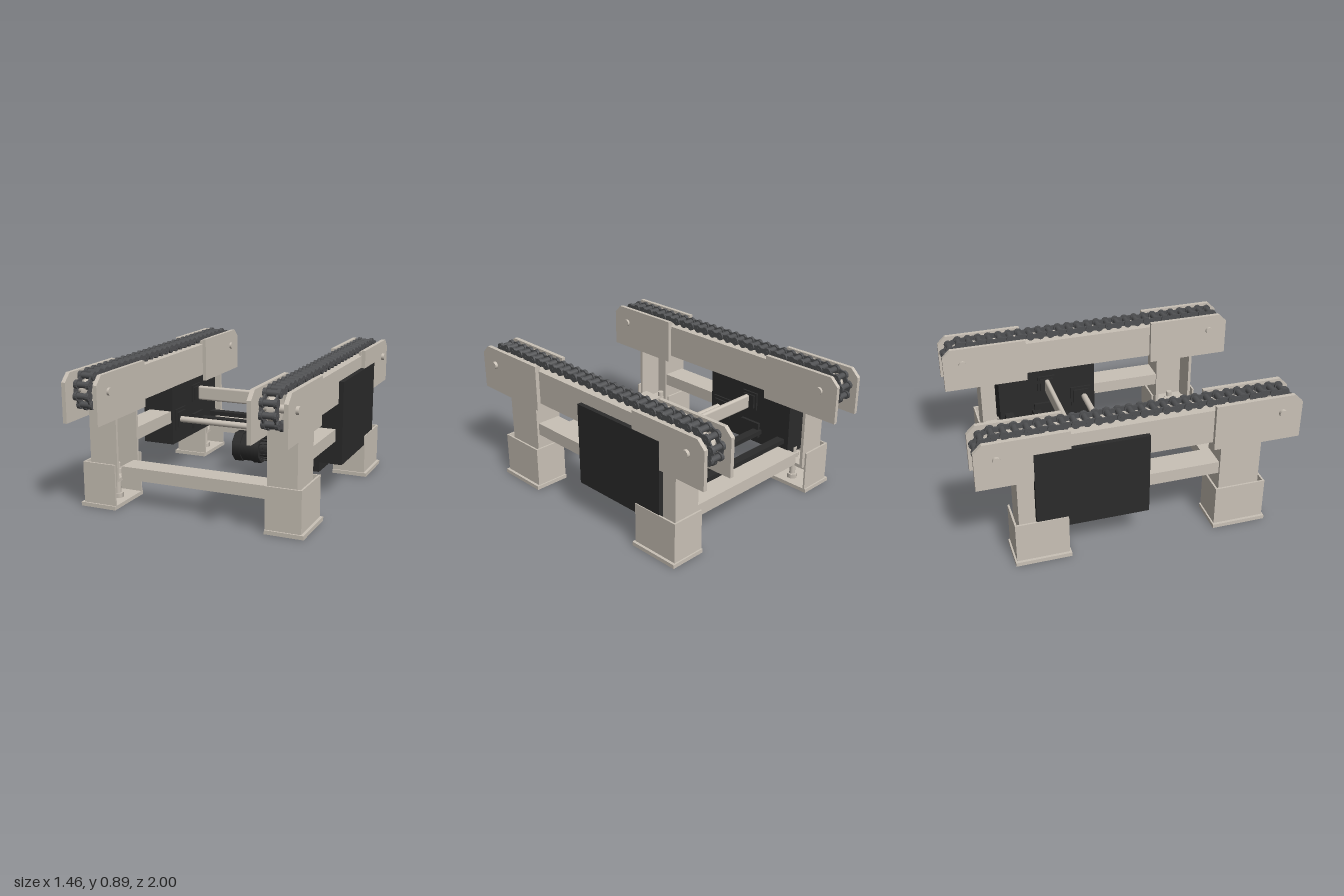
import * as THREE from 'three';
import { mergeGeometries } from 'three/addons/utils/BufferGeometryUtils.js';
import { RoundedBoxGeometry } from 'three/addons/geometries/RoundedBoxGeometry.js';

const material = (name, color) => Object.assign(new THREE.MeshStandardMaterial({ color }), { name });

export function createModel() {
  const model = new THREE.Group();
  model.name = 'chainConveyor';
  const steel = material('warmGreySteel', 0xc9c1b6);
  const dark = material('blackCasing', 0x2b2b2b);
  const chainMat = material('chainGrey', 0x505153);

  const add = (name, geo, mat, parent = model) => {
    const mesh = new THREE.Mesh(geo, mat);
    mesh.name = name;
    parent.add(mesh);
    return mesh;
  };
  // Box given by its limits on each axis
  const box = (name, mat, x0, x1, y0, y1, z0, z1, parent) => {
    const geo = new THREE.BoxGeometry(Math.abs(x1 - x0), Math.abs(y1 - y0), Math.abs(z1 - z0));
    geo.translate((x0 + x1) / 2, (y0 + y1) / 2, (z0 + z1) / 2);
    return add(name, geo, mat, parent);
  };
  // Cylinder lying along x
  const rodGeo = (x0, x1, y, z, r, n = 20) =>
    new THREE.CylinderGeometry(r, r, Math.abs(x1 - x0), n).rotateZ(Math.PI / 2).translate((x0 + x1) / 2, y, z);
  const rod = (name, mat, x0, x1, y, z, r, parent, n) => add(name, rodGeo(x0, x1, y, z, r, n), mat, parent);
  // Shape drawn in (z, y), extruded along x about x = 0
  const plateGeo = (shape, t, curveSegments = 8) =>
    new THREE.ExtrudeGeometry(shape, { depth: t, bevelEnabled: false, curveSegments })
      .translate(0, 0, -t / 2).rotateY(-Math.PI / 2);

  // Chain loop path: two straight runs and two half turns
  const R = 0.1, CZ = 0.87, CY = 0.762, COUNT = 60;
  const loop = 4 * CZ + 2 * Math.PI * R;
  const pathPoint = (d) => {
    d = ((d % loop) + loop) % loop;
    if (d < 2 * CZ) return [-CZ + d, CY + R];
    d -= 2 * CZ;
    if (d < Math.PI * R) return [CZ + R * Math.sin(d / R), CY + R * Math.cos(d / R)];
    d -= Math.PI * R;
    if (d < 2 * CZ) return [CZ - d, CY - R];
    d -= 2 * CZ;
    return [-CZ - R * Math.sin(d / R), CY - R * Math.cos(d / R)];
  };

  // Waisted link plate, two round ends
  const pitch = loop / COUNT, h = pitch / 2;
  const link = new THREE.Shape();
  link.absarc(h, 0, 0.027, -2.5, 2.5, false);
  link.absarc(-h, 0, 0.027, Math.PI - 2.5, Math.PI + 2.5, false);
  link.closePath();

  const buildChain = (s, parent) => {
    const parts = [];
    for (let i = 0; i < COUNT; i++) {
      const [z0, y0] = pathPoint(i * pitch), [z1, y1] = pathPoint((i + 1) * pitch);
      // the return run is enclosed in the rail
      if (y0 < 0.7 && Math.abs(z0) < 0.74) continue;
      const x = s * 0.58, spread = i % 2 ? 0.046 : 0.036;
      for (const k of [-1, 1]) {
        parts.push(plateGeo(link, 0.01, 6).rotateX(Math.atan2(y0 - y1, z1 - z0))
          .translate(x + k * spread, (y0 + y1) / 2, (z0 + z1) / 2));
      }
      parts.push(rodGeo(x - 0.034, x + 0.034, y0, z0, 0.019, 10).toNonIndexed());
      parts.push(rodGeo(x - 0.053, x + 0.053, y0, z0, 0.01, 8).toNonIndexed());
    }
    add('chain', mergeGeometries(parts), chainMat, parent);
  };

  // Inward-open channel post: outer web and two flanges
  const channel = (name, s, x0, x1, y0, y1, z0, z1, t, parent) => {
    const g = new THREE.Group();
    g.name = name;
    parent.add(g);
    box(name + 'Web', steel, s * (x1 - t), s * x1, y0, y1, z0, z1, g);
    box(name + 'Flange', steel, s * x0, s * (x1 - t), y0, y1, z0, z0 + t, g);
    box(name + 'Flange', steel, s * x0, s * (x1 - t), y0, y1, z1 - t, z1, g);
  };

  for (const s of [-1, 1]) {
    const side = new THREE.Group();
    side.name = s > 0 ? 'leftSide' : 'rightSide';
    model.add(side);

    box('rail', steel, s * 0.49, s * 0.675, 0.615, 0.835, -0.79, 0.79, side);
    box('sideBeam', steel, s * 0.5, s * 0.66, 0.37, 0.45, -0.5, 0.5, side);
    buildChain(s, side);

    for (const e of [-1, 1]) {
      const zMid = e * 0.63;
      // Leg, foot and levelling bolt
      channel('leg', s, 0.49, 0.675, 0.18, 0.64, zMid - 0.132, zMid + 0.132, 0.02, side);
      channel('footCover', s, 0.49, 0.712, 0.02, 0.285, zMid - 0.163, zMid + 0.163, 0.012, side);
      box('basePlate', steel, s * 0.49, s * 0.73, 0, 0.025, zMid - 0.173, zMid + 0.173, side);
      box('legFootPlate', steel, s * 0.495, s * 0.67, 0.165, 0.185, zMid - 0.13, zMid + 0.13, side);
      const bolt = new THREE.CylinderGeometry(0.02, 0.02, 0.23, 14).translate(s * 0.57, 0.135, zMid);
      add('levellingBolt', bolt, steel, side);
      for (const y of [0.04, 0.15, 0.2]) {
        add('boltNut', new THREE.CylinderGeometry(0.036, 0.036, 0.03, 6).translate(s * 0.57, y, zMid), steel, side);
      }

      // Bearing plates with a clipped upper corner
      const outline = [[0.44, 0.575], [0.998, 0.575], [0.998, 0.82], [0.945, 0.872], [0.44, 0.872]];
      const shape = new THREE.Shape(outline.map(([z, y]) => new THREE.Vector2(e * z, y)));
      for (const x of [0.478, 0.69]) {
        add('endPlate', plateGeo(shape, 0.026).translate(s * x, 0, 0), steel, side);
      }
      // Chain guides, shaft and sprocket
      for (const x of [0.508, 0.662]) {
        box('chainGuide', steel, s * (x - 0.006), s * (x + 0.006), 0.83, 0.86, e * 0.45, e * 0.79, side);
      }
      rod('sprocketShaft', steel, s * 0.45, s * 0.722, CY, e * CZ, 0.024, side);
      rod('sprocket', steel, s * 0.557, s * 0.603, CY, e * CZ, 0.075, side, 24);
    }

    // Drive casing below the rail with a tall outer cover
    box('driveCasing', dark, s * 0.488, s * 0.68, 0.22, 0.616, -0.64, 0.035, side);
    box('driveCover', dark, s * 0.672, s * 0.706, 0.22, 0.755, -0.66, 0.035, side);
    // Stepped flanges around the cross shafts
    for (const [y, z, r] of [[0.515, -0.31, 0.06], [0.383, -0.065, 0.072]]) {
      box('shaftFlange', dark, s * 0.476, s * 0.49, y - r, y + r, z - r, z + r, side);
      box('shaftFlangeStep', dark, s * 0.464, s * 0.478, y - r * 0.75, y + r * 0.75, z - r * 0.75, z + r * 0.75, side);
    }
    box('lowerFlange', dark, s * 0.468, s * 0.49, 0.265, 0.37, -0.4, -0.25, side);
  }

  // Cross members
  for (const z of [-0.63, 0.63]) box('crossBeam', steel, -0.495, 0.495, 0.175, 0.255, z - 0.075, z + 0.075);
  for (const z of [-0.58, -0.388]) box('motorRail', dark, -0.49, 0.49, 0.295, 0.325, z - 0.029, z + 0.029);
  const bar = new RoundedBoxGeometry(0.92, 0.1, 0.032, 3, 0.014).translate(0, 0.515, -0.31);
  add('upperCrossBar', bar, steel);
  rod('crossShaft', steel, -0.465, 0.465, 0.383, -0.045, 0.021);

  // Drive motor: octagonal end bells, ribbed body, gearbox
  const motor = new THREE.Group();
  motor.name = 'motor';
  model.add(motor);
  const octagon = (name, x0, x1, r) => {
    const geo = new THREE.CylinderGeometry(r, r, x1 - x0, 8).rotateY(Math.PI / 8).rotateZ(Math.PI / 2);
    add(name, geo.translate((x0 + x1) / 2, 0.182, -0.255), dark, motor);
  };
  octagon('fanCover', -0.138, -0.078, 0.106);
  octagon('motorNeck', -0.078, 0, 0.098);
  octagon('motorBell', 0, 0.058, 0.106);
  rod('motorBody', dark, 0.058, 0.24, 0.182, -0.255, 0.078, motor, 24);
  for (let i = 0; i < 20; i++) {
    const rib = new THREE.BoxGeometry(0.18, 0.01, 0.008).translate(0, 0.081, 0);
    rib.rotateX(i * Math.PI / 10).translate(0.148, 0.182, -0.255);
    add('coolingRib', rib, dark, motor);
  }
  box('gearbox', dark, 0.235, 0.49, 0.09, 0.27, -0.36, -0.165, motor);
  box('gearboxRear', dark, 0.24, 0.49, 0.1, 0.28, -0.55, -0.36, motor);
  box('terminalBox', dark, 0.18, 0.24, 0.2, 0.275, -0.52, -0.44, motor);

  return model;
}
